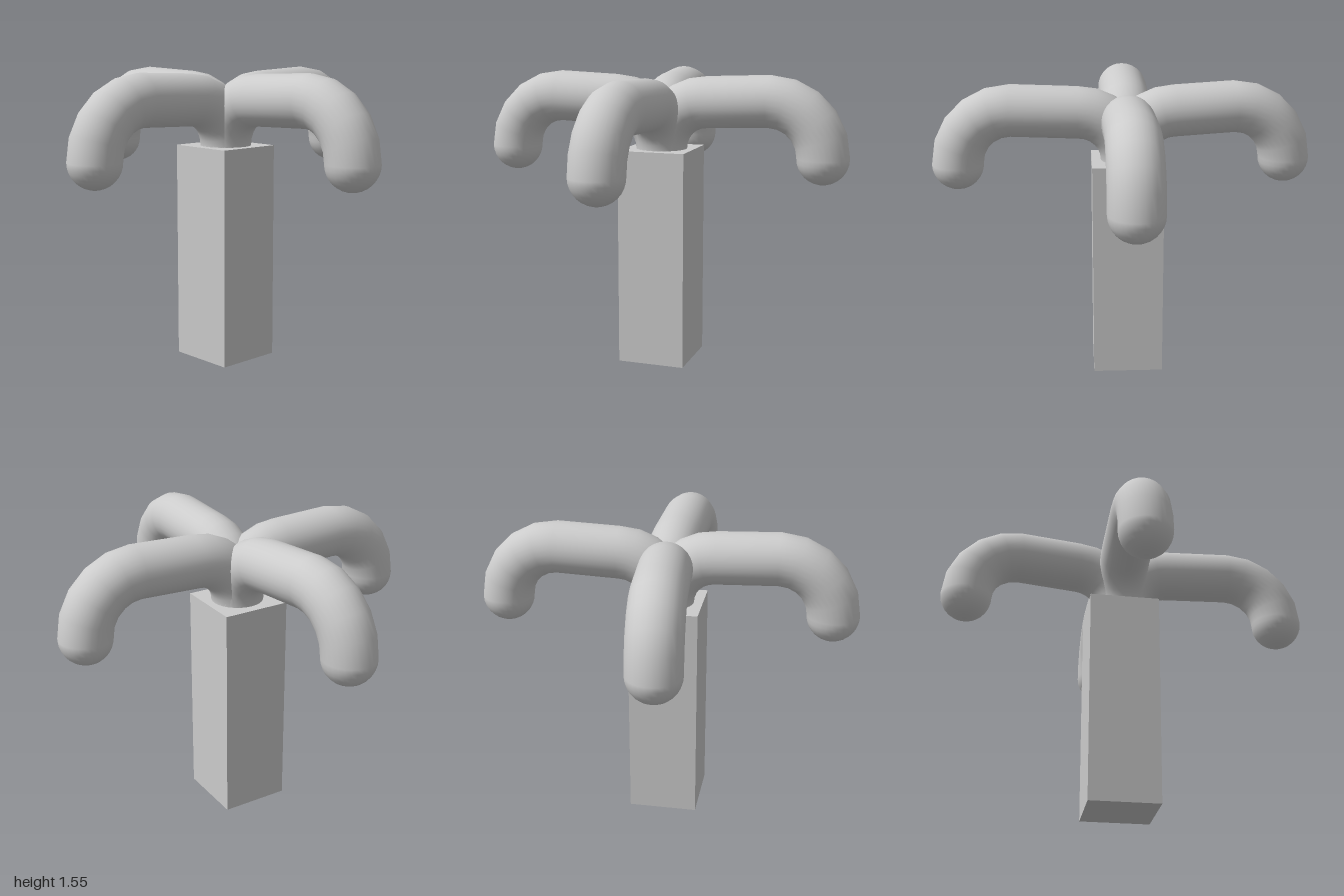
import * as THREE from 'three';

const RADIUS = 0.135;
const SIDES = 28;
const HUB = { x: -0.005, z: -0.02 };

// Cross-sections of one arm: [distance out, height, tangent angle, radius]
function armSections(reach) {
  const sections = [[0, 1.1, Math.PI / 2, RADIUS]];
  // inner elbow, from upright to level
  const inner = 0.25;
  for (let i = 0; i <= 6; i++) {
    const a = (Math.PI / 2) * (1 - i / 6);
    sections.push([inner * (1 - Math.sin(a)), 1.15 + inner * Math.cos(a), a, RADIUS]);
  }
  // outer elbow, from level to pointing down
  const outer = 0.28;
  for (let i = 0; i <= 5; i++) {
    const a = (Math.PI / 2) * (i / 5);
    sections.push([reach - outer + outer * Math.sin(a), 1.133 + outer * Math.cos(a), -a, RADIUS]);
  }
  // rounded tip
  for (let i = 1; i <= 8; i++) {
    const a = (Math.PI / 2) * (i / 8);
    sections.push([reach, 1.133 - RADIUS * Math.sin(a), -Math.PI / 2, RADIUS * Math.cos(a)]);
  }
  return sections;
}

// Sweep a circle through the sections
function armGeometry(reach) {
  const sections = armSections(reach);
  const positions = [];
  const index = [];
  sections.forEach(([d, y, a, r], k) => {
    for (let j = 0; j < SIDES; j++) {
      const t = (j / SIDES) * Math.PI * 2;
      const n = r * Math.cos(t);
      positions.push(d - n * Math.sin(a), y + n * Math.cos(a), r * Math.sin(t));
      if (k < sections.length - 1) {
        const p = k * SIDES + j;
        const q = k * SIDES + ((j + 1) % SIDES);
        index.push(p, q, p + SIDES, q, q + SIDES, p + SIDES);
      }
    }
  });
  const geometry = new THREE.BufferGeometry();
  geometry.setAttribute('position', new THREE.Float32BufferAttribute(positions, 3));
  geometry.setIndex(index);
  geometry.computeVertexNormals();
  return geometry;
}

export function createModel() {
  const group = new THREE.Group();
  const material = new THREE.MeshStandardMaterial({ color: 0xcccccc });

  // square trunk
  const trunk = new THREE.Mesh(new THREE.BoxGeometry(0.36, 1.15, 0.37), material);
  trunk.name = 'trunk';
  trunk.position.set(-0.007, 0.575, -0.022);
  group.add(trunk);

  // four drooping arms, each given by where its tip hangs
  const tips = {
    leftArm: [0.855, -0.025],
    rightArm: [-0.855, -0.025],
    frontArm: [-0.016, 0.862],
    backArm: [-0.088, -0.865],
  };
  for (const [name, [x, z]] of Object.entries(tips)) {
    const dx = x - HUB.x;
    const dz = z - HUB.z;
    const arm = new THREE.Mesh(armGeometry(Math.hypot(dx, dz)), material);
    arm.name = name;
    arm.position.set(HUB.x, 0, HUB.z);
    arm.rotation.y = Math.atan2(-dz, dx);
    group.add(arm);
  }
  return group;
}
